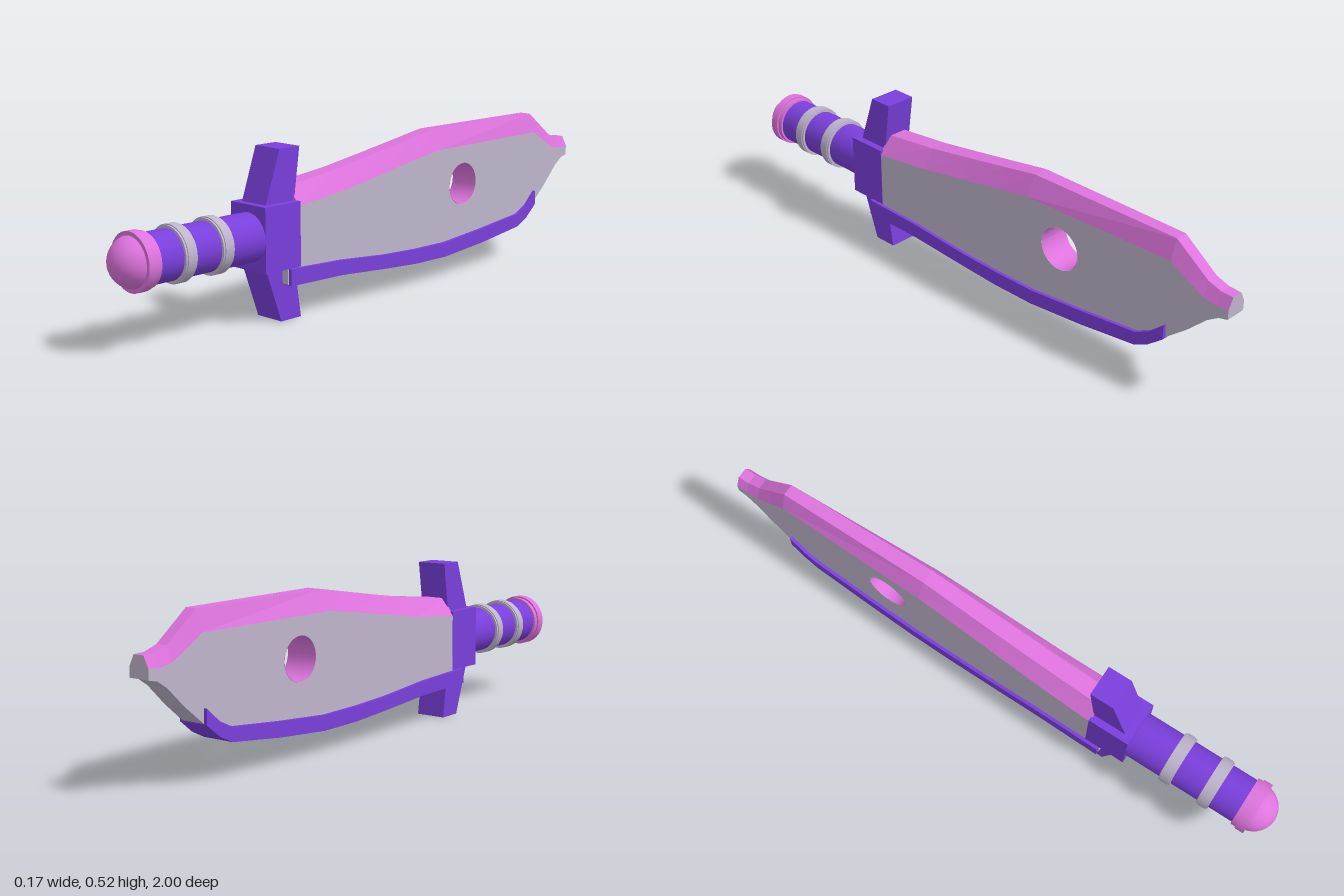
import * as THREE from 'three';

const mat = (name, color) => {
  const m = new THREE.MeshStandardMaterial({ color });
  m.name = name;
  return m;
};

// Half thickness of the blade, tapering towards the tip at z = -1
const halfWidth = (z) => 0.035 + 0.04 * (z + 1) / 1.42;

// Side outline in (z, y), given thickness along x by a rule of z
function slab(points, width, hole) {
  const shape = new THREE.Shape(points.map(([z, y]) => new THREE.Vector2(z, y)));
  if (hole) shape.holes.push(new THREE.Path().absarc(hole.z, hole.y, hole.r, 0, Math.PI * 2, true));
  const geo = new THREE.ExtrudeGeometry(shape, { depth: 1, bevelEnabled: false, curveSegments: 32 });
  const p = geo.attributes.position;
  for (let i = 0; i < p.count; i++) {
    const z = p.getX(i);
    p.setXYZ(i, (0.5 - p.getZ(i)) * 2 * width(z), p.getY(i), z);
  }
  geo.computeVertexNormals();
  return geo;
}

// Four-sided cross-sections [z, yLow, yHigh, halfLow, halfHigh], front to back
// Material groups: 0 = sides and front, 1 = back end
function loft(sections) {
  const rings = sections.map(([z, lo, hi, a, b]) => [[-a, lo, z], [a, lo, z], [b, hi, z], [-b, hi, z]]);
  const pos = [];
  const quad = (a, b, c, d) => pos.push(...a, ...b, ...c, ...a, ...c, ...d);
  quad(...rings[0]);
  for (let i = 0; i < rings.length - 1; i++) {
    for (let k = 0; k < 4; k++) {
      const n = (k + 1) % 4;
      quad(rings[i][k], rings[i + 1][k], rings[i + 1][n], rings[i][n]);
    }
  }
  const sideCount = pos.length / 3;
  quad(...rings[rings.length - 1].slice().reverse());
  const geo = new THREE.BufferGeometry();
  geo.setAttribute('position', new THREE.Float32BufferAttribute(pos, 3));
  geo.addGroup(0, sideCount, 0);
  geo.addGroup(sideCount, 6, 1);
  geo.computeVertexNormals();
  return geo;
}

export function createModel() {
  const purple = mat('purple', 0x7a3fdc);
  const pink = mat('pink', 0xde74de);
  const silver = mat('silver', 0xbfb5cc);
  const model = new THREE.Group();
  const add = (name, geo, material, x = 0, y = 0, z = 0) => {
    const m = new THREE.Mesh(geo, material);
    m.name = name;
    m.position.set(x, y, z);
    model.add(m);
    return m;
  };
  const axisY = 0.262;

  // Grip with two bands
  add('grip', new THREE.CylinderGeometry(0.075, 0.075, 0.42, 32).rotateX(Math.PI / 2), purple, 0, axisY, 0.7);
  const band = (r, w) => new THREE.CylinderGeometry(r, r, w, 32).rotateX(Math.PI / 2);
  for (const z of [0.79, 0.655]) {
    add('gripBand', band(0.083, 0.04), silver, 0, axisY, z);
    add('gripBandRidge', band(0.086, 0.028), silver, 0, axisY, z);
  }

  // Rounded pommel with a collar
  add('pommelCollar', band(0.087, 0.03), pink, 0, axisY, 0.925);
  add('pommelCollarBack', band(0.082, 0.02), pink, 0, axisY, 0.903);
  add('pommelDome', new THREE.SphereGeometry(0.077, 32, 16, 0, Math.PI * 2, 0, Math.PI / 2).rotateX(Math.PI / 2),
    pink, 0, axisY, 0.923);

  // Guard block with a prong above and below
  add('guardBlock', new THREE.BoxGeometry(0.15, 0.198, 0.14), purple, 0, 0.261, 0.44);
  add('upperProng', slab([[0.49, 0.35], [0.43, 0.52], [0.35, 0.52], [0.375, 0.35]], () => 0.0515), purple);
  add('lowerProng', slab([[0.49, 0.17], [0.375, 0.17], [0.35, 0], [0.43, 0]], () => 0.0515), purple);

  // Blade body with a round hole
  const spine = [ // z, lower edge, upper edge
    [0.375, 0.345, 0.402], [0.17, 0.366, 0.425], [0, 0.392, 0.452], [-0.15, 0.416, 0.477],
    [-0.27, 0.433, 0.497], [-0.8, 0.433, 0.497], [-0.86, 0.396, 0.452], [-0.915, 0.366, 0.411],
    [-0.96, 0.358, 0.396], [-1, 0.362, 0.395],
  ];
  const edge = [ // z, lower edge, upper edge
    [0.42, 0.112, 0.163], [0.2, 0.105, 0.152], [0, 0.088, 0.133], [-0.15, 0.077, 0.125],
    [-0.3, 0.074, 0.122], [-0.5, 0.089, 0.137], [-0.7, 0.112, 0.156], [-0.75, 0.136, 0.18], [-0.8, 0.176, 0.224],
  ];
  const hole = { z: -0.4, y: 0.305, r: 0.07 };
  const outline = [
    ...spine.map(([z, lo]) => [z, lo]),
    [-1, 0.33], [-0.97, 0.323], [-0.935, 0.3], [-0.87, 0.237], [-0.801, 0.18],
    ...edge.slice(1).reverse().map(([z, lo, hi]) => [z, (lo + hi) / 2]),
    [0.375, 0.14],
  ];
  add('bladeBody', slab(outline, halfWidth, hole), silver);

  // Pink lining of the hole, following the taper
  const lining = new THREE.CylinderGeometry(0.0692, 0.0692, 2, 32, 1, true).rotateZ(Math.PI / 2);
  const lp = lining.attributes.position;
  for (let i = 0; i < lp.count; i++) {
    lp.setX(i, Math.sign(lp.getX(i)) * halfWidth(lp.getZ(i) + hole.z));
  }
  lining.computeVertexNormals();
  const liningPink = pink;
  liningPink.side = THREE.DoubleSide;
  add('holeLining', lining, liningPink, 0, hole.y, hole.z);

  // Bevelled spine along the top, silver at the tip
  add('bladeSpine', loft(spine.map(([z, lo, hi]) => [z, lo, hi, halfWidth(z), 0.018 + 0.012 * (z + 1) / 1.4])),
    [pink, silver]);

  // Wider cutting edge wrapped round the bottom
  add('cuttingEdge', loft(edge.map(([z, lo, hi]) => [z, lo, hi, halfWidth(z) + 0.011, halfWidth(z) + 0.011])),
    [purple, purple]);
  add('cuttingEdgeEnd', new THREE.BoxGeometry(0.15, 0.046, 0.004), silver, 0, 0.138, 0.421);

  return model;
}
